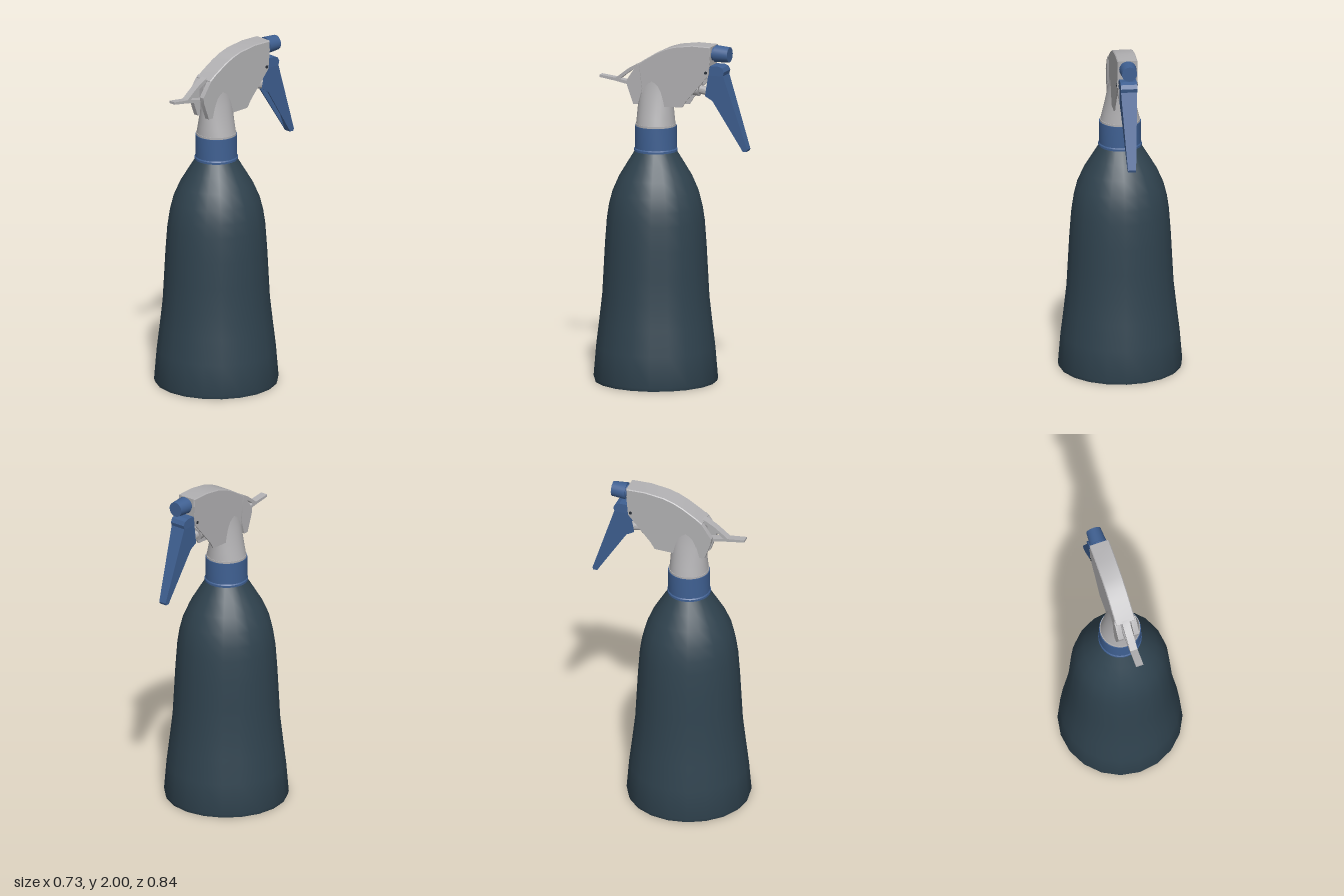
import * as THREE from 'three';
import { toCreasedNormals } from 'three/addons/utils/BufferGeometryUtils.js';

const material = (name, color) => {
  const m = new THREE.MeshStandardMaterial({ color });
  m.name = name;
  return m;
};

export function createModel() {
  const model = new THREE.Group();
  model.name = 'sprayBottle';
  const slate = material('slate bottle', 0x30434f);
  const grey = material('grey plastic', 0xb2b1b3);
  const blue = material('blue plastic', 0x3f6092);
  const dark = material('dark pin', 0x2a3038);

  const add = (parent, name, geometry, mat, crease = 0.6) => {
    const mesh = new THREE.Mesh(toCreasedNormals(geometry, crease), mat);
    mesh.name = name;
    parent.add(mesh);
    return mesh;
  };
  const lathe = (points, sides = 20) =>
    new THREE.LatheGeometry(points.map(([r, y]) => new THREE.Vector2(r, y)), sides, -0.02);

  // Side outline in (x, y), extruded across z from z0 to z1
  const slab = (points, z0, z1, bevel = 0) => {
    const shape = new THREE.Shape(points.map(([x, y]) => new THREE.Vector2(x, y)));
    const g = new THREE.ExtrudeGeometry(shape, {
      depth: z1 - z0 - 2 * bevel, bevelEnabled: bevel > 0, bevelSize: bevel,
      bevelThickness: bevel, bevelOffset: -bevel, bevelSegments: 1,
    });
    return g.translate(0, 0, z0 + bevel);
  };
  const reshape = (g, rule) => {
    const p = g.attributes.position;
    const v = new THREE.Vector3();
    for (let i = 0; i < p.count; i++) {
      v.fromBufferAttribute(p, i);
      rule(v);
      p.setXYZ(i, v.x, v.y, v.z);
    }
    g.computeVertexNormals();
    return g;
  };
  // Round bar between two points in the side plane
  const bar = (parent, name, [x0, y0], [x1, y1], r0, r1, mat, sides = 16) => {
    const mesh = add(parent, name,
      new THREE.CylinderGeometry(r1, r0, Math.hypot(x1 - x0, y1 - y0), sides), mat);
    mesh.position.set((x0 + x1) / 2, (y0 + y1) / 2, 0);
    mesh.rotation.z = Math.atan2(y1 - y0, x1 - x0) - Math.PI / 2;
  };

  // Everything turns around the bottle's axis
  const bottle = new THREE.Group();
  bottle.name = 'bottle';
  bottle.position.set(-0.003, 0, 0.056);
  model.add(bottle);
  add(bottle, 'bottleBody', lathe([
    [0, 0], [0.355, 0], [0.361, 0.02], [0.346, 0.2], [0.328, 0.35], [0.311, 0.5], [0.303, 0.65],
    [0.295, 0.8], [0.284, 0.95], [0.272, 1.03], [0.252, 1.11], [0.213, 1.2], [0.165, 1.28], [0.113, 1.365],
  ]), slate);
  add(bottle, 'collar', lathe([
    [0.1, 1.352], [0.126, 1.352], [0.126, 1.364], [0.121, 1.37], [0.121, 1.5], [0.1, 1.5],
  ], 32), blue);
  add(bottle, 'neckRing', lathe([
    [0.1, 1.497], [0.117, 1.497], [0.117, 1.512], [0.1, 1.512],
  ], 32), grey);

  // Spray head, pointing along local +x
  const head = new THREE.Group();
  head.name = 'sprayHead';
  head.rotation.y = 0.933;
  bottle.add(head);

  // Neck: round at the collar, flattened where it meets the body
  add(head, 'neck', reshape(lathe([
    [0.114, 1.51], [0.11, 1.56], [0.106, 1.62], [0.104, 1.69], [0.102, 1.76], [0.1, 1.83],
  ], 32), (v) => {
    v.z *= 1 - 0.45 * Math.min(1, Math.max(0, (v.y - 1.52) / 0.26));
  }), grey);

  // Body: solid top with two thin skirts that leave the underside open
  const back = [[-0.1, 1.855], [-0.06, 1.885], [0.02, 1.935], [0.075, 1.962], [0.135, 1.982], [0.25, 1.999], [0.366, 1.998]];
  const top = back.slice().reverse();
  add(head, 'bodyTop', slab([
    ...top, [-0.1, 1.7], [0.08, 1.64], [0.085, 1.82], [0.36, 1.88],
  ], -0.059, 0.059, 0.005), grey, 0.4);
  for (const s of [-1, 1]) {
    add(head, 'bodySkirt', slab([
      [0.364, 1.95], [0.0, 1.9], [0.0, 1.63], [0.075, 1.625], [0.19, 1.63], [0.215, 1.67], [0.353, 1.83],
    ], s * 0.055 - 0.004, s * 0.055 + 0.004), grey);
    // Rear wings beside the tail
    add(head, 'rearWing', slab([
      [-0.08, 1.865], [-0.1, 1.85], [-0.157, 1.765], [-0.152, 1.73], [-0.115, 1.628], [-0.085, 1.628], [-0.06, 1.72],
    ], s * 0.048 - 0.016, s * 0.048 + 0.016), grey);
  }

  // Tail: flat hook and the arched strip above it
  add(head, 'tailHook', slab([
    [-0.08, 1.715], [-0.08, 1.733], [-0.24, 1.763], [-0.345, 1.774], [-0.345, 1.76], [-0.24, 1.745],
  ], -0.022, 0.022), grey);
  add(head, 'tailArch', slab([
    [-0.06, 1.872], [-0.11, 1.857], [-0.165, 1.825], [-0.21, 1.79], [-0.25, 1.758],
    [-0.22, 1.758], [-0.19, 1.782], [-0.15, 1.812], [-0.1, 1.838], [-0.06, 1.85],
  ], -0.022, 0.022), grey);

  // Pump cylinder and plunger behind the trigger
  bar(head, 'pumpCylinder', [0.06, 1.765], [0.28, 1.735], 0.042, 0.042, grey);
  bar(head, 'plunger', [0.27, 1.735], [0.37, 1.72], 0.025, 0.025, grey);

  // Nozzle
  bar(head, 'nozzleNeck', [0.34, 1.952], [0.385, 1.952], 0.041, 0.041, blue, 20);
  bar(head, 'nozzle', [0.378, 1.952], [0.464, 1.952], 0.05, 0.044, blue, 20);

  // Trigger: a tapering channel, open towards the neck
  const trigger = new THREE.Group();
  trigger.name = 'trigger';
  head.add(trigger);
  const halfWidth = (y) => 0.023 + 0.024 * Math.min(1, Math.max(0, (y - 1.39) / 0.44));
  const taper = (g) => reshape(g, (v) => { v.z *= halfWidth(v.y); });
  for (const s of [-1, 1]) {
    add(trigger, 'triggerSide', taper(slab([
      [0.35, 1.84], [0.325, 1.705], [0.37, 1.68], [0.553, 1.395], [0.578, 1.392], [0.583, 1.405], [0.44, 1.835],
    ], s * 0.88 - 0.12, s * 0.88 + 0.12)), blue, 0.3);
  }
  add(trigger, 'triggerFace', taper(slab([
    [0.42, 1.835], [0.415, 1.8], [0.548, 1.4], [0.553, 1.392], [0.578, 1.392], [0.583, 1.405], [0.44, 1.835],
  ], -0.98, 0.98)), blue, 0.3);
  add(trigger, 'triggerTop', slab([
    [0.33, 1.83], [0.44, 1.83], [0.447, 1.855], [0.435, 1.878], [0.41, 1.887], [0.34, 1.885],
  ], -0.048, 0.048), blue, 0.3);

  // Hinge pin through the body
  const pin = add(head, 'hingePin', new THREE.CylinderGeometry(0.009, 0.009, 0.126, 10), dark);
  pin.rotation.x = Math.PI / 2;
  pin.position.set(0.338, 1.845, 0);

  return model;
}
